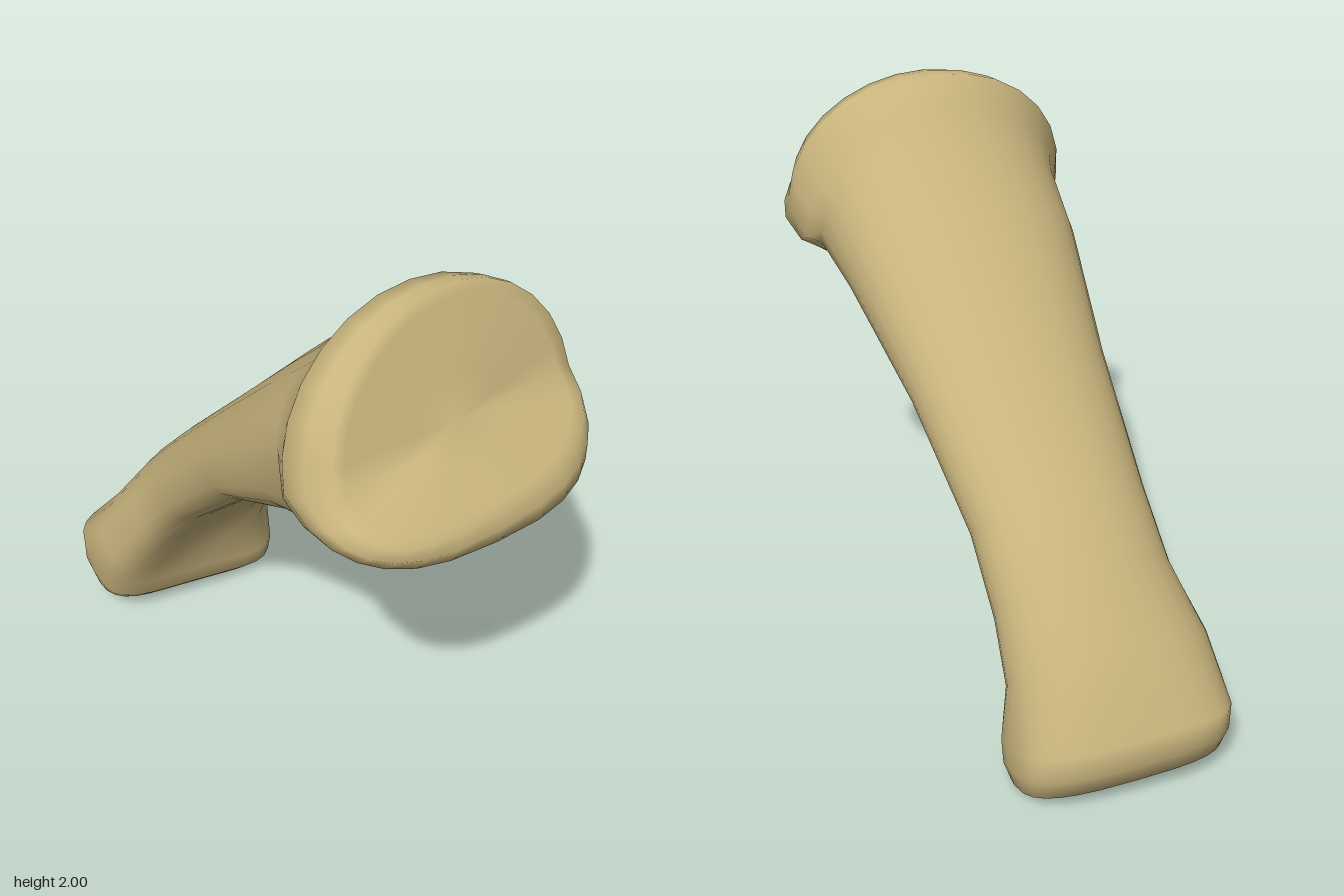
import * as THREE from 'three';
import { mergeVertices } from 'three/addons/utils/BufferGeometryUtils.js';

const SEGMENTS = 28;

// Cross-sections of each part: back and front are [z, y], x is [right, left].
// The head also gives side, the [z, y] of its widest point.
const head = [
  { back: [0.62, 1.99], front: [0.98, 1.45], x: [-0.43, 0.47], side: [0.765, 1.6] },
  { back: [0.58, 2.0], front: [0.995, 1.41], x: [-0.48, 0.495], side: [0.71, 1.57] },
  { back: [0.53, 2.0], front: [0.985, 1.365], x: [-0.5, 0.5], side: [0.65, 1.54] },
  { back: [0.47, 1.92], front: [0.87, 1.33], x: [-0.465, 0.47], side: [0.59, 1.47] },
];
const shaft = [
  { back: [0.36, 1.79], front: [0.68, 1.275], x: [-0.43, 0.43] },
  { back: [0.2, 1.63], front: [0.47, 1.215], x: [-0.42, 0.395] },
  { back: [-0.14, 1.29], front: [0.07, 0.99], x: [-0.365, 0.32] },
  { back: [-0.48, 0.95], front: [-0.27, 0.67], x: [-0.355, 0.255] },
  { back: [-0.65, 0.77], front: [-0.46, 0.44], x: [-0.37, 0.25] },
  { back: [-0.81, 0.54], front: [-0.535, 0.27], x: [-0.45, 0.255] },
];
const knuckle = [
  { back: [-0.965, 0.29], front: [-0.56, 0.15], x: [-0.45, 0.275] },
  { back: [-0.965, 0.19], front: [-0.585, 0.07], x: [-0.445, 0.275] },
  { back: [-0.93, 0.1], front: [-0.635, 0.03], x: [-0.425, 0.26] },
  { back: [-0.85, 0.045], front: [-0.7, 0.02], x: [-0.37, 0.22] },
];

const mix = THREE.MathUtils.lerp;
const power = (v, p) => Math.sign(v) * Math.pow(Math.abs(v), p);

// One closed ring. round is [back, left front, right front], lower is squarer;
// groove hollows the front and tilt skews left against right.
function makeRing(section, round, groove, tilt) {
  const { back, front, x } = section;
  const side = section.side ?? [mix(back[0], front[0], 0.55), mix(back[1], front[1], 0.55)];
  const ring = [];
  for (let i = 0; i < SEGMENTS; i++) {
    const t = (i / SEGMENTS) * Math.PI * 2;
    const isBack = Math.sin(t) >= 0;
    const frontRound = Math.cos(t) > 0 ? round[1] : round[2];
    const bulge = isBack ? round[0] : frontRound;
    let s = Math.pow(Math.abs(Math.sin(t)), bulge);
    if (!isBack) s -= groove * Math.pow(s, 8);
    const end = isBack ? back : front;
    const px = mix(x[0], x[1], (power(Math.cos(t), bulge) + 1) / 2);
    const skew = tilt * (px + 0.08);
    ring.push(new THREE.Vector3(
      px,
      mix(side[1], end[1], s) - 0.08 * skew,
      mix(side[0], end[0], s) + 0.1 * skew,
    ));
  }
  return ring;
}

// Skin rings into one closed smooth surface; the first and last ring are points
function loft(rings) {
  const points = rings.flat();
  const index = [];
  for (let r = 0; r < rings.length - 1; r++) {
    for (let i = 0; i < SEGMENTS; i++) {
      const a = r * SEGMENTS + i;
      const d = r * SEGMENTS + ((i + 1) % SEGMENTS);
      const b = a + SEGMENTS;
      const c = d + SEGMENTS;
      if (r > 0) index.push(a, b, d);
      if (r < rings.length - 2) index.push(b, c, d);
    }
  }
  const geometry = new THREE.BufferGeometry().setFromPoints(points);
  geometry.setIndex(index);
  const merged = mergeVertices(geometry, 1e-5);
  merged.computeVertexNormals();
  return merged;
}

export function createModel() {
  const group = new THREE.Group();
  group.name = 'fingerBone';

  const bone = new THREE.MeshStandardMaterial({ color: 0xc8b47d });
  bone.name = 'bone';

  // The rim tilts, the shaft is grooved below, the knuckle is squarer and skewed
  const rings = [
    ...head.map((s, i) => makeRing(s, [1, 0.75, 0.75], 0, Math.min(0, 0.45 * i - 0.9))),
    ...shaft.map((s, i) => makeRing(s, [0.95, 0.95, 0.75], Math.min(0.2, 0.06 * (i + 1)), 0)),
    ...knuckle.map((s) => makeRing(s, [0.65, 0.7, 0.7], 0.16, 1)),
  ];

  // Shallow socket: rings shrinking from the rim to the dish centre
  const dish = new THREE.Vector3(0, 1.66, 0.775);
  const socket = [0, 0.35, 0.7, 0.9].map((k) =>
    rings[0].map((p) => dish.clone().lerp(p, k)));

  // Knuckle tip closes on one point, slightly hollow between the two condyles
  const tip = new THREE.Vector3(-0.08, 0.06, -0.775);
  const end = rings[0].map(() => tip.clone());

  const mesh = new THREE.Mesh(loft([...socket, ...rings, end]), bone);
  mesh.name = 'boneBody';
  group.add(mesh);
  return group;
}
